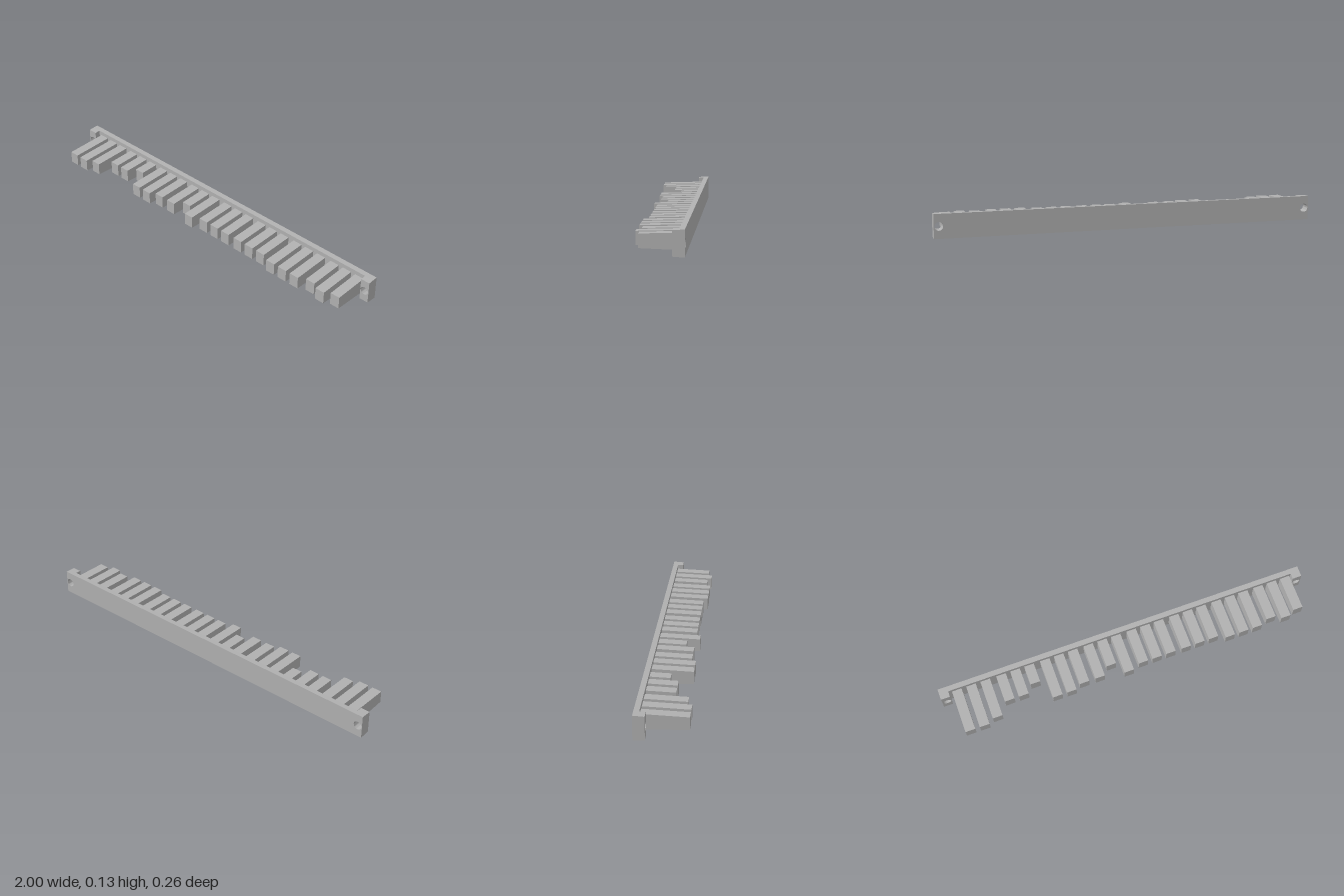
import * as THREE from 'three';
import { toCreasedNormals } from 'three/addons/utils/BufferGeometryUtils.js';

const MID_Y = 0.063;   // height of the centre line
const BACK = -0.128;   // rear face of the rail
const RAIL_FRONT = -0.101;
const PAD_FRONT = -0.071;
const HOLE_X = 0.975;

// Rectangle x0..x1 extruded from z0 to z1, its half height going from h0 to h1
function taperedBar(x0, x1, z0, z1, h0, h1, holes = []) {
  const shape = new THREE.Shape([
    new THREE.Vector2(x0, -h0), new THREE.Vector2(x1, -h0),
    new THREE.Vector2(x1, h0), new THREE.Vector2(x0, h0),
  ]);
  for (const x of holes) {
    shape.holes.push(new THREE.Path().absarc(x, 0, 0.022, 0, Math.PI * 2, true));
  }
  const geometry = new THREE.ExtrudeGeometry(shape, { depth: z1 - z0, bevelEnabled: false, curveSegments: 20 });
  const p = geometry.attributes.position;
  for (let i = 0; i < p.count; i++) {
    const t = p.getZ(i) / (z1 - z0);
    p.setY(i, p.getY(i) * THREE.MathUtils.lerp(1, h1 / h0, t));
  }
  geometry.translate(0, MID_Y, z0);
  return toCreasedNormals(geometry, 0.5);
}

export function createModel() {
  const model = new THREE.Group();
  const grey = new THREE.MeshStandardMaterial({ color: 0xb0b0b0 });
  grey.name = 'plain grey';

  const add = (name, geometry) => {
    const mesh = new THREE.Mesh(geometry, grey);
    mesh.name = name;
    model.add(mesh);
  };

  // Long back rail with a screw hole at each end
  add('backRail', taperedBar(-1, 1, BACK, RAIL_FRONT, 0.063, 0.0615, [-HOLE_X, HOLE_X]));

  // Raised mounting pads around the screw holes
  add('rightMountingPad', taperedBar(-1, -0.951, RAIL_FRONT, PAD_FRONT, 0.0615, 0.0595, [-HOLE_X]));
  add('leftMountingPad', taperedBar(0.951, 1, RAIL_FRONT, PAD_FRONT, 0.0615, 0.0595, [HOLE_X]));

  // Eight groups of three teeth; each number is the z of a tooth tip
  const A = 0.128, B = 0.107, C = 0.086, D = 0.043, E = 0.001;
  const tips = [
    [A, A, B], [D, D, E], [B, B, C], [C, D, B],
    [C, C, C], [C, C, C], [B, B, B], [C, B, C],
  ];
  const halfHeight = (z) => 0.0395 - (z + 0.101) * 0.033;
  tips.forEach((group, g) => group.forEach((tip, k) => {
    const x = -0.832 + g * 0.2391 + (k - 1) * 0.0765;
    add(`tooth${g * 3 + k + 1}`,
      taperedBar(x - 0.026, x + 0.026, RAIL_FRONT, tip, halfHeight(RAIL_FRONT), halfHeight(tip)));
  }));

  return model;
}
